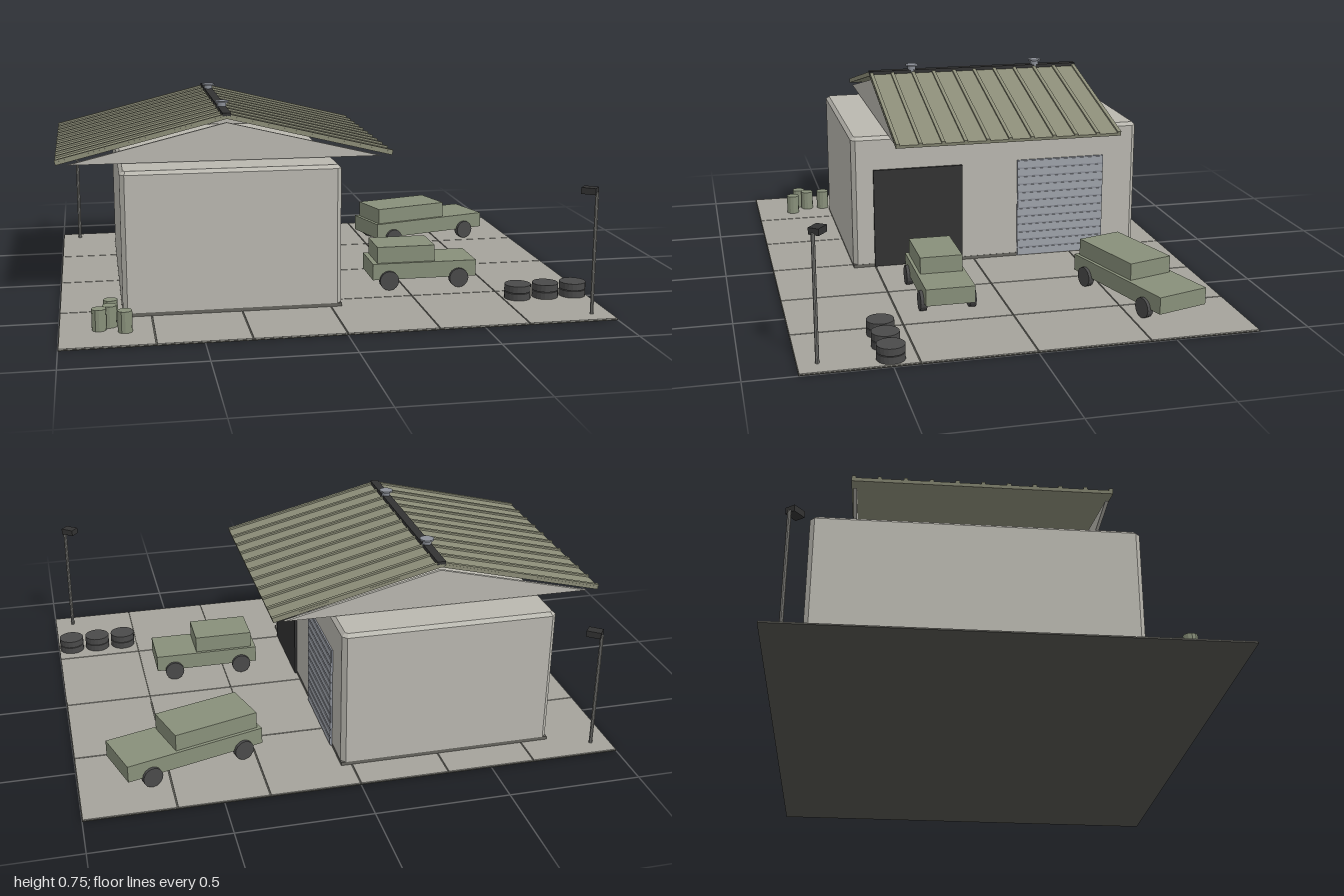
import * as THREE from 'three';

const mat = (color, side = THREE.FrontSide) =>
  new THREE.MeshStandardMaterial({ color, side, flatShading: true });
const M = {
  ground: mat(0xa5a39b), seam: mat(0x55554f), wall: mat(0xbab8b0), plinth: mat(0x66655f),
  roof: mat(0x8c8d78), olive: mat(0x88907a), dark: mat(0x333333), tyre: mat(0x4a4a4a),
  steel: mat(0x8c9098), slat: mat(0xa0a4ac), pole: mat(0x80807c),
};

function add(parent, name, geometry, material, x = 0, y = 0, z = 0) {
  const mesh = new THREE.Mesh(geometry, material);
  mesh.name = name;
  mesh.position.set(x, y, z);
  parent.add(mesh);
  return mesh;
}
const box = (p, name, m, w, h, d, x, y, z) => add(p, name, new THREE.BoxGeometry(w, h, d), m, x, y, z);
const cyl = (p, name, m, r, h, x, y, z, n = 16) =>
  add(p, name, new THREE.CylinderGeometry(r, r, h, n), m, x, y, z);
function group(parent, name, x = 0, y = 0, z = 0) {
  const g = new THREE.Group();
  g.name = name;
  g.position.set(x, y, z);
  parent.add(g);
  return g;
}

const FLOOR = 0.007;

// Paved yard: dark base with a 6 x 4 field of slabs
function yard(root) {
  const g = group(root, 'yard');
  box(g, 'yardBase', M.seam, 2, 0.004, 1.63, 0, 0.002, 0);
  for (let i = 0; i < 6; i++) for (let j = 0; j < 4; j++)
    box(g, 'slab', M.ground, 1 / 3 - 0.005, 0.003, 0.4075 - 0.005,
      -1 + (i + 0.5) / 3, 0.0055, -0.815 + (j + 0.5) * 0.4075);
}

// Main hall: block with chamfered corners and top edge
function hall(root) {
  const g = group(root, 'hall', -0.365, 0, -0.095);
  const b = 0.013, c = 0.009, w = 0.405 - b, d = 0.59 - b;
  const s = new THREE.Shape([
    [-w + c, -d], [w - c, -d], [w, -d + c], [w, d - c],
    [w - c, d], [-w + c, d], [-w, d - c], [-w, -d + c],
  ].map(([x, y]) => new THREE.Vector2(x, y)));
  const geo = new THREE.ExtrudeGeometry(s, {
    depth: 0.538 - 2 * b, bevelThickness: b, bevelSize: b, bevelSegments: 1,
  });
  geo.rotateX(-Math.PI / 2);
  add(g, 'walls', geo, M.wall, 0, FLOOR + b, 0);
  box(g, 'plinth', M.plinth, 0.812, 0.014, 1.18, 0, 0.013, 0);
}

// Open doorway and slatted shutter on the +x wall
function doors(root) {
  box(root, 'openDoorway', M.dark, 0.02, 0.4, 0.36, 0.04, 0.21, 0.23);
  const g = group(root, 'shutter', 0.04, 0, -0.362);
  box(g, 'shutterPanel', M.steel, 0.012, 0.405, 0.364, 0, 0.2125, 0);
  const n = 12, step = 0.405 / n;
  for (let i = 0; i < n; i++)
    box(g, 'slat', M.slat, 0.018, step * 0.8, 0.36, 0, 0.01 + (i + 0.5) * step, 0);
}

// Gabled roof with ribs, ridge cap and two vents
function roof(root) {
  const run = 0.629, rise = 0.155, len = Math.hypot(run, rise);
  const g = group(root, 'roof', -0.367, 0.711, -0.0925);
  for (const s of [1, -1]) {
    const slope = group(g, 'roofSlope');
    slope.rotation.z = -s * Math.atan2(rise, run);
    box(slope, 'roofSheet', M.roof, len, 0.012, 0.895, s * len / 2, 0, 0);
    for (let i = 0; i < 11; i++)
      box(slope, 'roofRib', M.roof, len, 0.01, 0.014, s * len / 2, 0.008, -0.44 + i * 0.088);
  }
  box(g, 'ridgeCap', M.dark, 0.032, 0.02, 0.895, 0, 0.006, 0);
  for (const z of [-0.27, 0.267]) {
    cyl(g, 'ventPipe', M.steel, 0.017, 0.03, 0, 0.018, z);
    cyl(g, 'ventCap', M.steel, 0.027, 0.006, 0, 0.034, z);
  }
  // Gable panels closing both ends
  const tri = new THREE.Shape([new THREE.Vector2(-0.585, 0), new THREE.Vector2(0.585, 0), new THREE.Vector2(0, 0.142)]);
  const geo = new THREE.ExtrudeGeometry(tri, { depth: 0.012, bevelEnabled: false });
  for (const z of [-0.44, 0.428]) add(g, 'gable', geo, M.wall, 0, -0.163, z);
}

// Vehicle pointing along +x; cab spans cabBack..cabFront
function vehicle(root, o) {
  const g = group(root, o.name, o.x, 0, o.z);
  g.rotation.y = o.turn;
  box(g, 'body', M.olive, o.length, 0.064, o.width, 0, 0.08, 0);
  box(g, 'cab', M.olive, o.cabFront - o.cabBack, 0.066, o.width * 0.87,
    (o.cabFront + o.cabBack) / 2, 0.143, 0);
  for (const x of o.axles) for (const s of [1, -1])
    cyl(g, 'wheel', M.tyre, 0.038, 0.024, x, FLOOR + 0.038, s * o.width / 2).rotation.x = Math.PI / 2;
}

// Lamp post with a head leaning towards the yard centre
function lamp(root, s) {
  const g = group(root, 'lampPost', s * 0.926, 0, s * 0.745);
  cyl(g, 'pole', M.pole, 0.007, 0.455, 0, FLOOR + 0.2275, 0, 8);
  const head = box(g, 'lampHead', M.dark, 0.054, 0.024, 0.04, -s * 0.02, 0.467, -s * 0.018);
  head.rotation.y = -Math.atan2(0.7, 0.9);
}

export function createModel() {
  const root = new THREE.Group();
  root.name = 'depot';
  yard(root);
  hall(root);
  doors(root);
  roof(root);
  vehicle(root, {
    name: 'smallTruck', x: 0.408, z: 0.222, turn: 0, length: 0.415, width: 0.185,
    cabBack: -0.188, cabFront: 0.042, axles: [-0.143, 0.137],
  });
  vehicle(root, {
    name: 'largeTruck', x: 0.594, z: -0.503, turn: 0.29, length: 0.54, width: 0.207,
    cabBack: -0.255, cabFront: 0.075, axles: [-0.19, 0.178],
  });
  for (const s of [1, -1]) lamp(root, s);

  // Stacked tyres
  for (const x of [0.725, 0.835, 0.945]) for (let i = 0; i < 2; i++)
    cyl(root, 'stackedTyre', M.tyre, 0.05, 0.026, x, FLOOR + 0.013 + i * 0.029, 0.5, 20);

  // Oil drums
  for (const [x, z] of [[-0.815, 0.52], [-0.82, 0.59], [-0.858, 0.625], [-0.768, 0.66]])
    cyl(root, 'drum', M.olive, 0.026, 0.078, x, FLOOR + 0.039, z, 12);
  return root;
}
